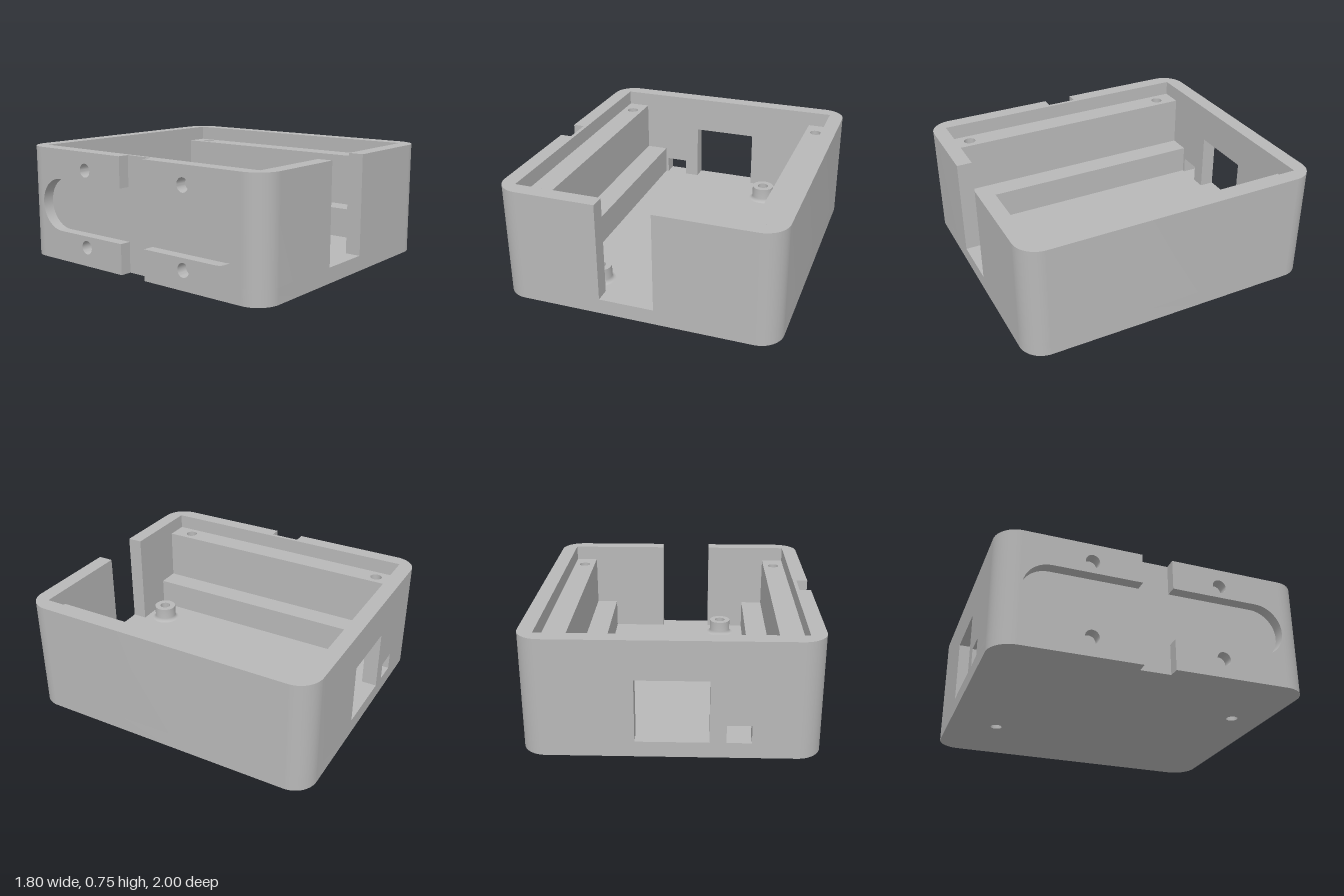
import * as THREE from 'three';
import { toCreasedNormals } from 'three/addons/utils/BufferGeometryUtils.js';

const PI = Math.PI;

export function createModel() {
  const model = new THREE.Group();
  model.name = 'enclosure';
  const grey = new THREE.MeshStandardMaterial({ color: 0xb8b8b8 });
  grey.name = 'grey plastic';

  const add = (name, geometry) => {
    const mesh = new THREE.Mesh(geometry, grey);
    mesh.name = name;
    model.add(mesh);
    return mesh;
  };
  const extrude = (shape, depth) =>
    new THREE.ExtrudeGeometry(shape, { depth, bevelEnabled: false, curveSegments: 16 });
  // Plan shapes are drawn as (x, -z) and raised from y0 to y1.
  const raise = (name, shape, y0, y1) =>
    add(name, toCreasedNormals(extrude(shape, y1 - y0).rotateX(-PI / 2).translate(0, y0, 0), 0.5));
  const polygon = (points) => new THREE.Shape(points.map(([x, y]) => new THREE.Vector2(x, y)));
  const rectangle = (x0, y0, x1, y1) => polygon([[x0, y0], [x1, y0], [x1, y1], [x0, y1]]);
  const punch = (shape, x, y, r) => {
    const hole = new THREE.Path();
    hole.absarc(x, y, r, 0, 2 * PI, false);
    shape.holes.push(hole);
  };
  const lines = (shape, points) => points.forEach(([x, y]) => shape.lineTo(x, y));

  // Outline of each side, with rounded corners; the -x side is set back for the mounting plates
  const leftOutline = (s) => {
    s.lineTo(-0.75, -1);
    s.absarc(-0.75, -0.85, 0.15, -PI / 2, -PI, true);
    lines(s, [[-0.825, -0.85], [-0.825, 0.85], [-0.9, 0.85]]);
    s.absarc(-0.75, 0.85, 0.15, PI, PI / 2, true);
  };
  const rightOutline = (s) => {
    s.lineTo(0.75, 1);
    s.absarc(0.75, 0.85, 0.15, PI / 2, 0, true);
    s.absarc(0.75, -0.85, 0.15, 0, -PI / 2, true);
  };

  // Floor with two through holes under the posts
  const posts = [[0.37, -0.68], [-0.325, 0.77]];
  const floor = new THREE.Shape();
  floor.moveTo(0, -1);
  leftOutline(floor);
  rightOutline(floor);
  posts.forEach(([x, z]) => punch(floor, x, -z, 0.038));
  raise('floor', floor, 0, 0.1);

  // Side walls wrap round to the front opening and the back panel
  const wallA = new THREE.Shape();
  wallA.moveTo(-0.23, -1);
  leftOutline(wallA);
  lines(wallA, [[-0.6, 1], [-0.6, 0.9], [-0.8, 0.9], [-0.8, -0.9], [-0.23, -0.9]]);
  raise('rightWall', wallA, 0.1, 0.75);

  const wallB = new THREE.Shape();
  wallB.moveTo(0.6, 1);
  rightOutline(wallB);
  lines(wallB, [[0.125, -1], [0.125, -0.9], [0.8, -0.9], [0.8, 0.9], [0.6, 0.9]]);
  raise('leftWall', wallB, 0.1, 0.75);

  // Back panel with the large window and the small port
  const back = polygon([
    [-0.6, 0.1], [-0.48, 0.1], [-0.48, 0.215], [-0.33, 0.215], [-0.33, 0.1],
    [-0.23, 0.1], [-0.23, 0.5], [0.215, 0.5], [0.215, 0.1],
    [0.6, 0.1], [0.6, 0.75], [-0.6, 0.75],
  ]);
  add('backPanel', extrude(back, 0.1).translate(0, 0, -1));

  // Mounting plates on the -x side: a rounded slot split by a central channel
  for (const s of [-1, 1]) {
    const points = [[0.1, 0], [0.85, 0], [0.85, 0.75], [0.1, 0.75], [0.1, 0.55]];
    for (let i = 0; i <= 20; i++) {
      const a = PI / 2 - (i / 20) * PI;
      points.push([0.67 + 0.175 * Math.cos(a), 0.375 + 0.175 * Math.sin(a)]);
    }
    points.push([0.1, 0.2]);
    const plate = polygon(points.map(([z, y]) => [s * z, y]));
    for (const y of [0.125, 0.63]) punch(plate, s * 0.42, y, 0.045);
    const geometry = extrude(plate, 0.075).rotateY(-PI / 2).translate(-0.825, 0, 0);
    add('mountingPlate', toCreasedNormals(geometry, 0.5));
  }

  // Stepped ledges along both sides, the upper one with screw holes
  for (const s of [-1, 1]) {
    const upper = rectangle(s * 0.65, -0.9, s * 0.8, 0.9);
    raise('ledgeBase', upper.clone(), 0.1, 0.4);
    for (const z of [-0.765, 0.76]) punch(upper, s * 0.725, -z, 0.04);
    raise('upperLedge', upper, 0.4, 0.65);
    raise('lowerLedge', rectangle(s * 0.5, -0.9, s * 0.65, 0.9), 0.1, 0.3);
  }

  // Hollow posts with a flared foot
  const profile = [
    [0.1, 0.1], [0.089, 0.103], [0.08, 0.111], [0.077, 0.125],
    [0.077, 0.2], [0.038, 0.2], [0.038, 0.1],
  ].map(([r, y]) => new THREE.Vector2(r, y));
  const postGeometry = toCreasedNormals(new THREE.LatheGeometry(profile, 32), 0.8);
  for (const [x, z] of posts) add('post', postGeometry).position.set(x, 0, z);

  return model;
}
